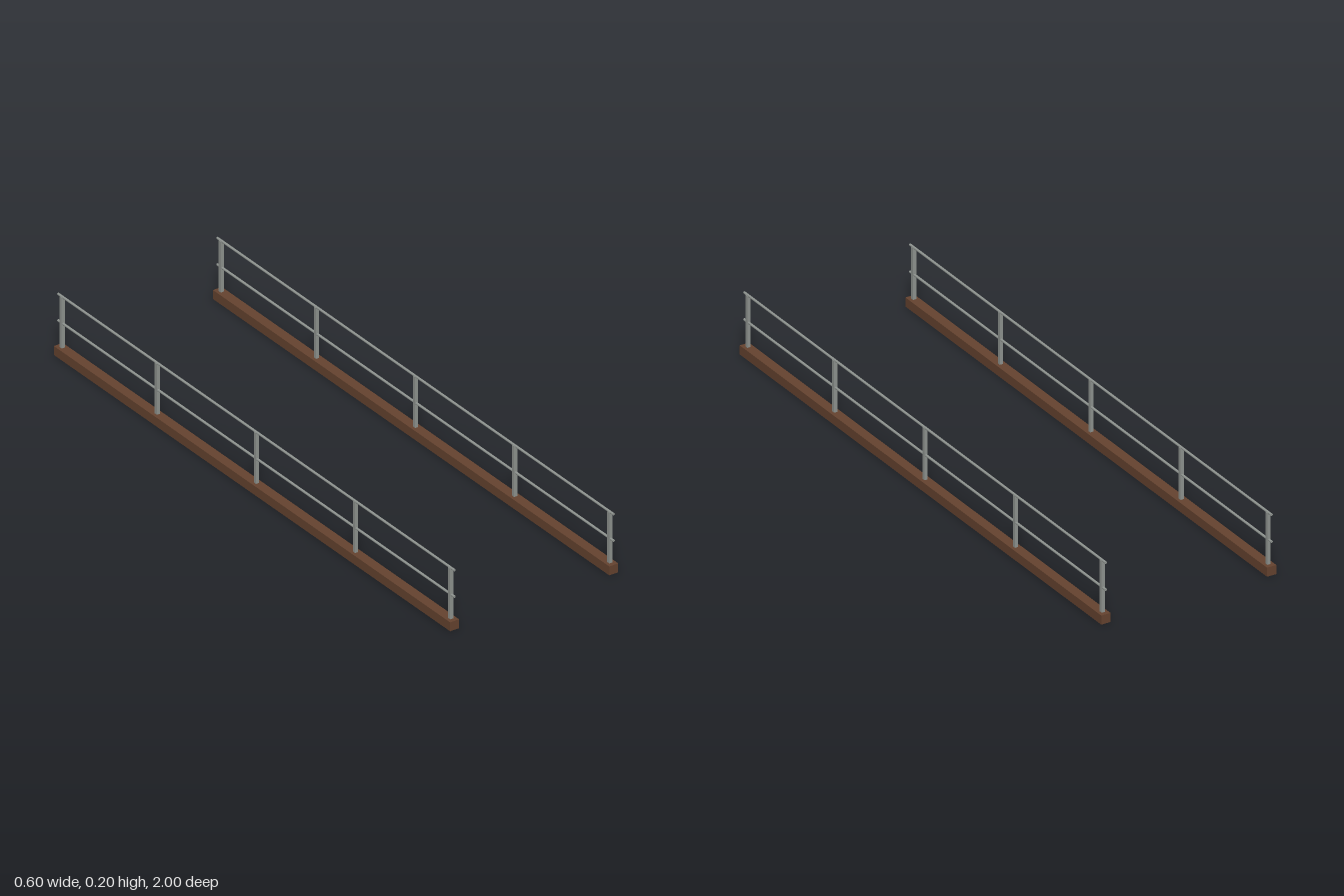
import * as THREE from 'three';

export function createModel() {
  const model = new THREE.Group();
  const wood = new THREE.MeshStandardMaterial({ color: 0x65432f });
  const steel = new THREE.MeshStandardMaterial({ color: 0x8f9490 });

  const beamGeo = new THREE.BoxGeometry(0.032, 0.03, 2);
  const postGeo = new THREE.BoxGeometry(0.011, 0.17, 0.011);
  const railGeo = new THREE.CylinderGeometry(0.004, 0.004, 2, 12).rotateX(Math.PI / 2);

  function add(parent, name, geometry, material, y, z = 0) {
    const mesh = new THREE.Mesh(geometry, material);
    mesh.name = name;
    mesh.position.set(0, y, z);
    parent.add(mesh);
  }

  // One railing on each side: kerb beam, five posts and two rails
  for (const side of [-1, 1]) {
    const railing = new THREE.Group();
    railing.name = side > 0 ? 'leftRailing' : 'rightRailing';
    railing.position.x = side * 0.285;
    add(railing, 'kerbBeam', beamGeo, wood, 0.015);
    for (const z of [-0.98, -0.5, 0, 0.5, 0.98]) add(railing, 'post', postGeo, steel, 0.115, z);
    add(railing, 'topRail', railGeo, steel, 0.2);
    add(railing, 'middleRail', railGeo, steel, 0.111);
    model.add(railing);
  }
  return model;
}
